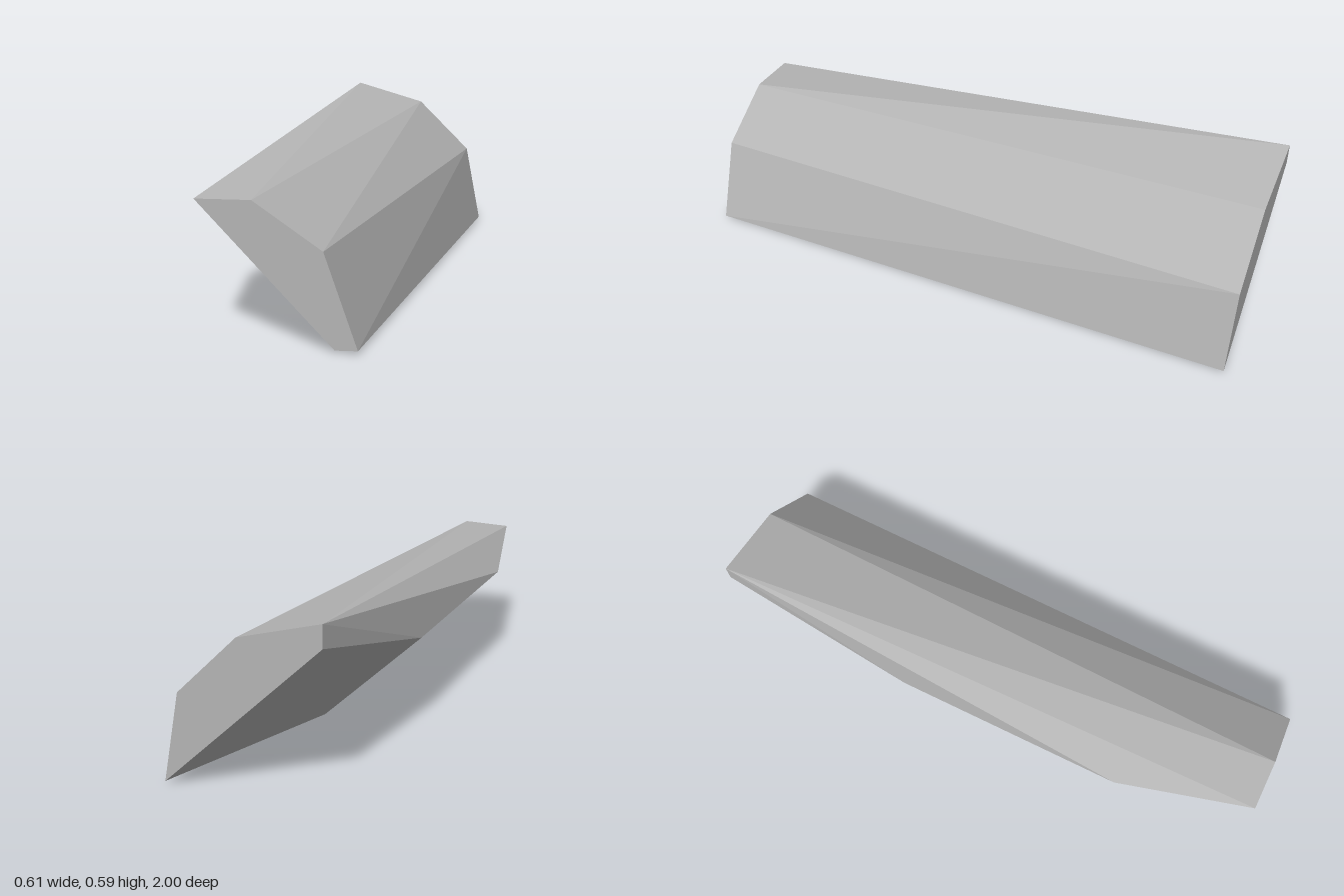
import * as THREE from 'three';
import { ConvexGeometry } from 'three/addons/geometries/ConvexGeometry.js';

export function createModel() {
  const group = new THREE.Group();
  group.name = 'rockShard';
  const stone = new THREE.MeshStandardMaterial({ color: 0xb4b4b4, flatShading: true });
  stone.name = 'grey stone';

  // Flat front end, flat back end, and the chipped left and bottom ridges
  const frontEnd = [[-0.195, 0.428], [-0.015, 0.433], [0.202, 0.295], [0.305, 0.01], [0.235, 0.006]]
    .map(([x, y]) => new THREE.Vector3(x, y, 1));
  const backEnd = [[-0.27, 0.591], [0.009, 0.515], [0.218, 0.313], [0.277, 0.01], [-0.27, 0.517]]
    .map(([x, y]) => new THREE.Vector3(x, y, -1));
  const chips = [[-0.306, 0.355, 0.53], [-0.301, 0.338, -0.3], [0.06, 0.004, -0.3], [0.064, 0, 0.53]]
    .map((p) => new THREE.Vector3(...p));

  const shard = new THREE.Mesh(new ConvexGeometry([...frontEnd, ...backEnd, ...chips]), stone);
  shard.name = 'shard';
  group.add(shard);
  return group;
}
